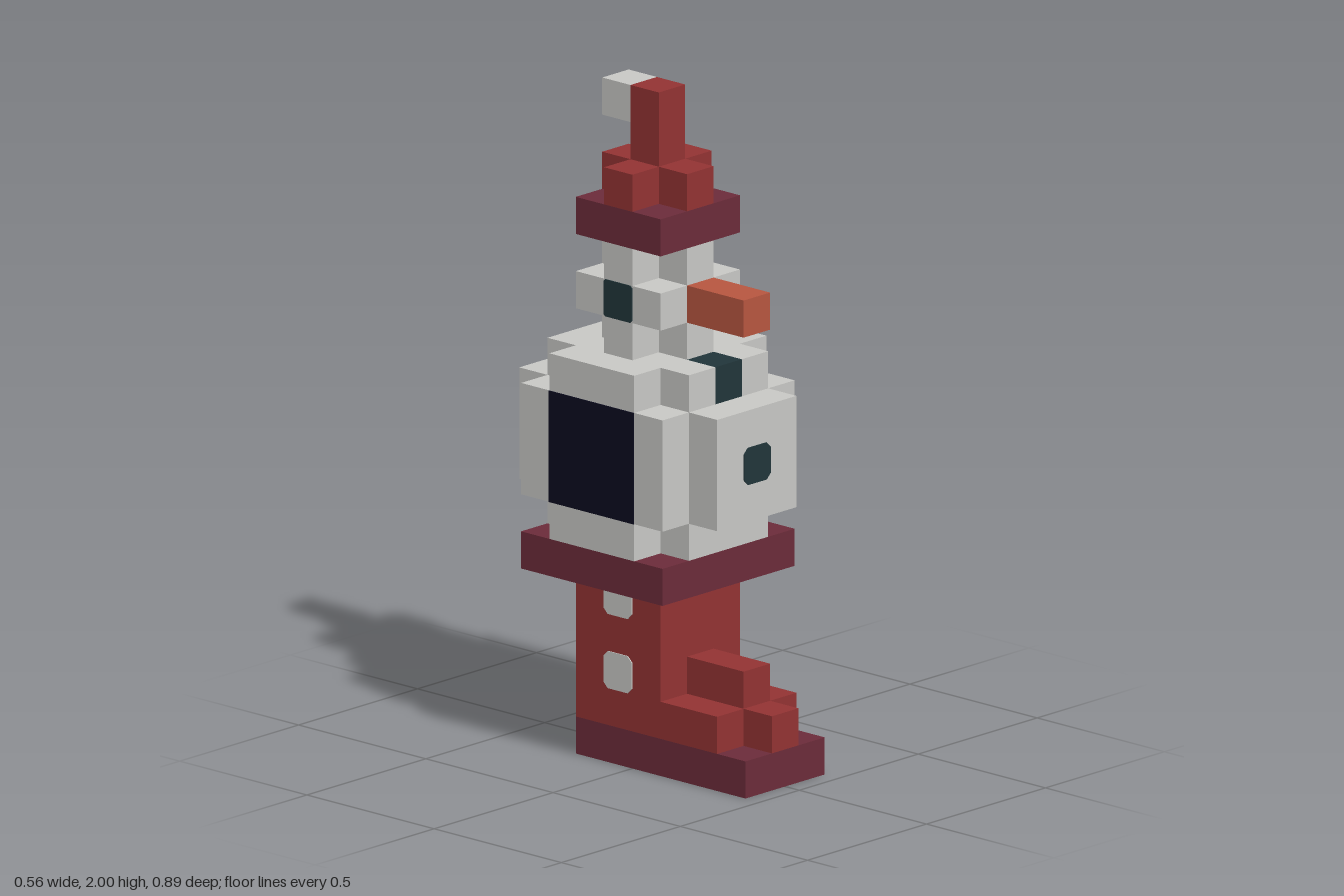
import * as THREE from 'three';

const U = 1 / 9; // one building block

const paint = (name, color) => {
  const m = new THREE.MeshStandardMaterial({ color });
  m.name = name;
  return m;
};

export function createModel() {
  const model = new THREE.Group();
  model.name = 'blockTower';
  const maroon = paint('maroon', 0x6c2c3a);
  const red = paint('brick red', 0x933333);
  const grey = paint('pale grey', 0xc8c8c5);
  const orange = paint('orange', 0xb75640);
  const teal = paint('dark teal', 0x21353a);
  const navy = paint('navy', 0x0b0b20);

  const add = (name, geometry, material) => {
    const mesh = new THREE.Mesh(geometry, material);
    mesh.name = name;
    model.add(mesh);
    return mesh;
  };

  // Box given by its block limits on each axis
  const block = (name, material, x0, x1, y0, y1, z0, z1) =>
    add(name, new THREE.BoxGeometry((x1 - x0) * U, (y1 - y0) * U, (z1 - z0) * U), material)
      .position.set((x0 + x1) / 2 * U, (y0 + y1) / 2 * U, (z0 + z1) / 2 * U);

  // Plus-shaped layer around z = -0.5: half width h, arms half width a
  const cross = (name, material, h, a, y0, y1) => {
    block(name + 'Long', material, -a, a, y0, y1, -0.5 - h, -0.5 + h);
    for (const s of [-1, 1]) {
      const [x0, x1] = s > 0 ? [a, h] : [-h, -a];
      block(name + 'Arm', material, x0, x1, y0, y1, -0.5 - a, -0.5 + a);
    }
  };

  // Thin plate with clipped corners, facing +z before rotation
  const plate = (name, material, w, h, c, position, rotation) => {
    const x = w / 2, y = h / 2;
    const points = [[c - x, -y], [x - c, -y], [x, c - y], [x, y - c], [x - c, y], [c - x, y], [-x, y - c], [-x, c - y]];
    const shape = new THREE.Shape(points.map(([px, py]) => new THREE.Vector2(px * U, py * U)));
    const mesh = add(name, new THREE.ExtrudeGeometry(shape, { depth: 0.003, bevelEnabled: false }), material);
    mesh.position.set(...position.map((v) => v * U));
    mesh.rotation.set(...rotation);
  };

  // Base, entrance steps and lower shaft
  block('base', maroon, -1.5, 1.5, 0, 1, -2, 4);
  block('shaft', red, -1.5, 1.5, 1, 5, -2, 1);
  block('wideStep', red, -1.5, 1.5, 1, 2, 1, 3);
  block('frontStep', red, -0.5, 0.5, 1, 2, 3, 4);
  block('upperStep', red, -0.5, 0.5, 2, 3, 1, 3);
  plate('basePad', grey, 1, 4, 0.15, [0, 0.028, 1], [Math.PI / 2, 0, 0]);

  // Gallery and main body
  block('gallery', maroon, -2.5, 2.5, 5, 6, -3, 2);
  cross('bodyBottom', grey, 2.5, 1.5, 6, 7);
  block('body', grey, -2.5, 2.5, 7, 10, -3, 2);
  block('frontPanel', grey, -1.5, 1.5, 7, 10, 2, 3);
  block('backPanel', grey, -1.5, 1.5, 7, 10, -4, -3);
  block('bodyTop', grey, -1.5, 1.5, 10, 11, -3, 1);
  for (const [x0, x1] of [[-2.5, -1.5], [1.5, 2.5]]) block('bodyTopArm', grey, x0, x1, 10, 11, -2, 1);
  for (const [x0, x1] of [[-1.5, -0.5], [0.5, 1.5]]) block('bodyTopFront', grey, x0, x1, 10, 11, 1, 2);
  block('frontLamp', teal, -0.5, 0.5, 10, 11, 1, 2);
  plate('frontButton', teal, 1, 1, 0.15, [0, 8.5, 3], [0, 0, 0]);

  // Neck, head ring and beak
  cross('neckLower', grey, 1.5, 0.5, 11, 12);
  block('headRing', grey, -1.5, 1.5, 12, 13, -2, 1);
  cross('neckUpper', grey, 1.5, 0.5, 13, 14);
  block('beak', orange, -0.5, 0.5, 12, 13, 1, 3);

  // Painted details on both sides
  for (const s of [-1, 1]) {
    const turn = [0, s * Math.PI / 2, 0];
    plate('sideWindow', navy, 3, 3, 0, [s * 2.5, 8.5, -0.5], turn);
    plate('eye', teal, 1, 1, 0.06, [s * 1.5, 12.5, -0.5], turn);
    for (const y of [2.5, 4.5]) plate('shaftWindow', grey, 1, 1, 0.15, [s * 1.5, y, -0.5], turn);
  }

  // Roof, pole and flag
  block('roof', maroon, -1.5, 1.5, 14, 15, -2, 1);
  cross('roofCross', red, 1.5, 0.5, 15, 16);
  block('pole', red, -0.5, 0.5, 16, 18, -1, 0);
  block('flag', grey, -0.5, 0.5, 17, 18, -2, -1);

  return model;
}
